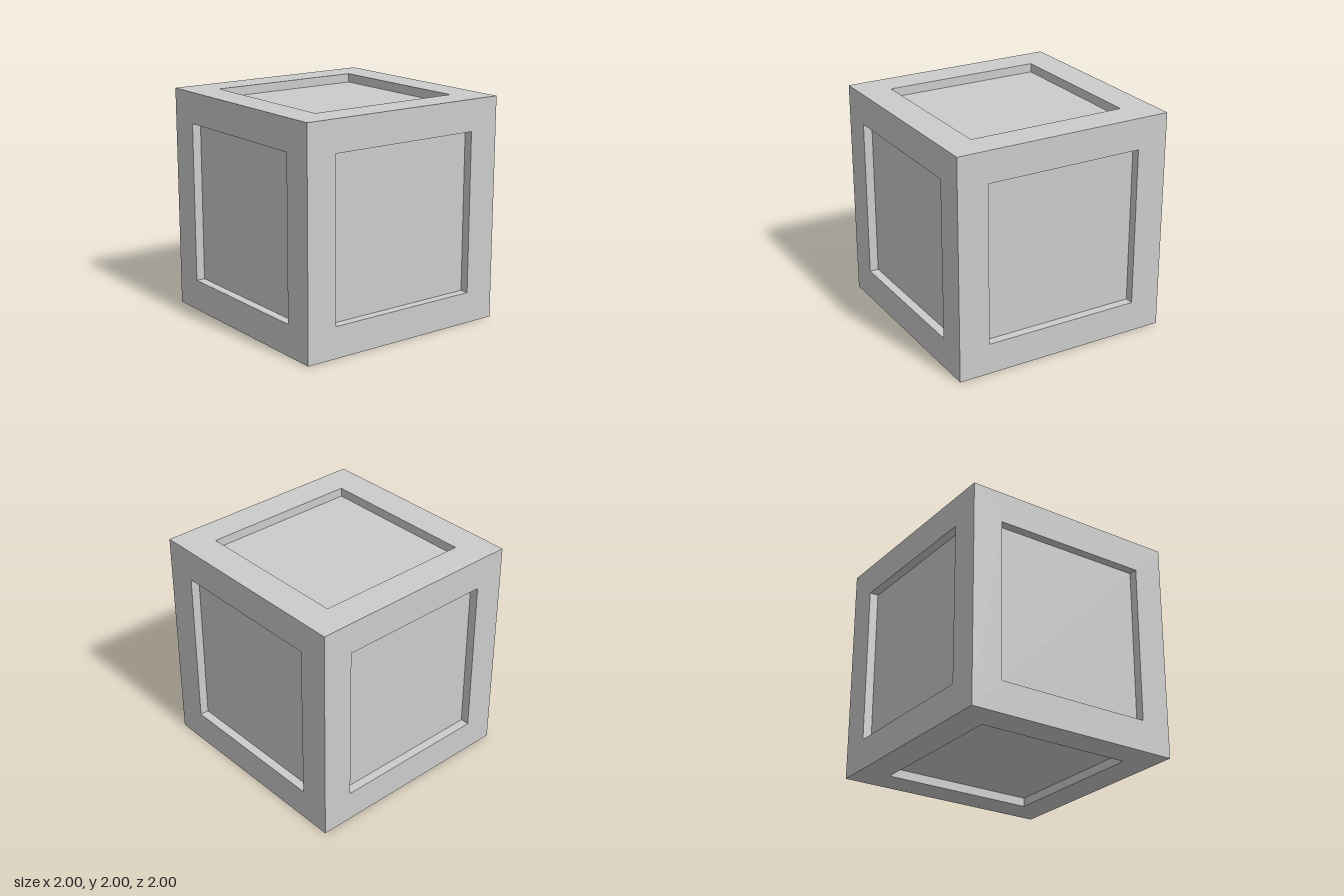
import * as THREE from 'three';

const HALF = 1;       // half the cube's edge
const OPENING = 0.72; // half the width of each recess
const DEPTH = 0.08;   // how far the panels are sunk

// One cube side facing +y: flat border, recess walls and sunken panel,
// made as a four-sided lathe of a stepped profile.
function sideGeometry() {
  const profile = [
    [HALF, HALF],
    [OPENING, HALF],
    [OPENING, HALF - DEPTH],
    [0, HALF - DEPTH],
  ].map(([half, y]) => new THREE.Vector2(half * Math.SQRT2, y));
  const geometry = new THREE.LatheGeometry(profile, 4, Math.PI / 4).toNonIndexed();
  geometry.computeVertexNormals();
  return geometry;
}

export function createModel() {
  const group = new THREE.Group();
  group.name = 'panelledCrate';
  const material = new THREE.MeshStandardMaterial({ color: 0xcccccc, flatShading: true });
  const geometry = sideGeometry();
  const q = Math.PI / 2;

  // The same side turned to all six directions
  const sides = [
    ['topSide', 0, 0],
    ['frontSide', q, 0],
    ['bottomSide', 2 * q, 0],
    ['backSide', -q, 0],
    ['leftSide', 0, -q],
    ['rightSide', 0, q],
  ];
  for (const [name, rx, rz] of sides) {
    const side = new THREE.Mesh(geometry, material);
    side.name = name;
    side.rotation.set(rx, 0, rz);
    side.position.y = HALF;
    group.add(side);
  }
  return group;
}
